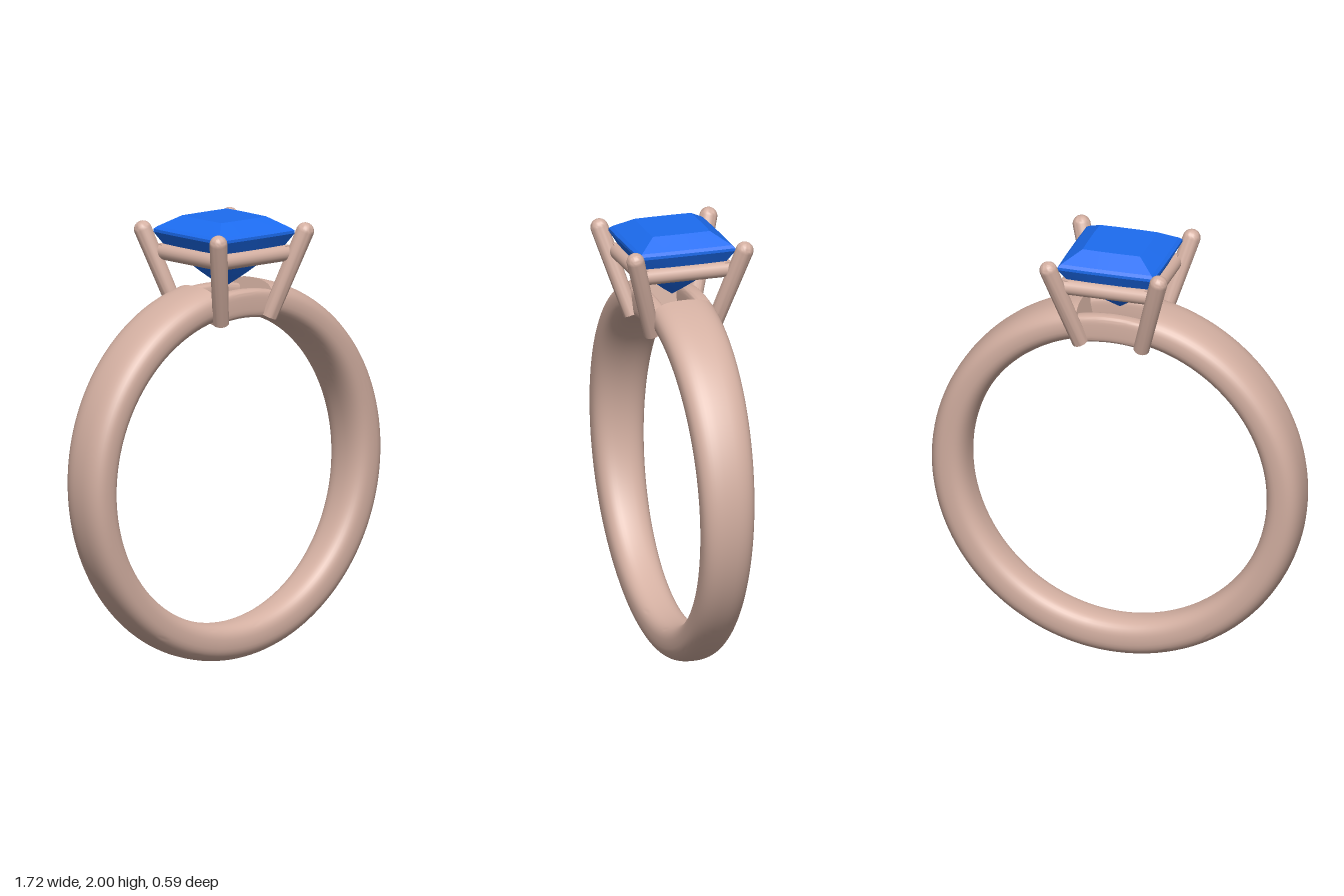
import * as THREE from 'three';
import { toCreasedNormals } from 'three/addons/utils/BufferGeometryUtils.js';

const CENTER_Y = 0.86;
const V = (x, y, z) => new THREE.Vector3(x, y, z);

// Skin a list of closed cross-sections and cap both ends
function loft(rings, crease) {
  const m = rings[0].length, last = rings.length - 1;
  const pos = [], idx = [];
  rings.forEach(r => r.forEach(p => pos.push(p.x, p.y, p.z)));
  for (let i = 0; i < last; i++) {
    for (let j = 0; j < m; j++) {
      const a = i * m + j, b = i * m + (j + 1) % m;
      idx.push(a, b, a + m, b, b + m, a + m);
    }
  }
  for (const i of [0, last]) {
    const c = rings[i].reduce((s, p) => s.add(p), V(0, 0, 0)).divideScalar(m);
    const ci = pos.push(c.x, c.y, c.z) / 3 - 1;
    for (let j = 0; j < m; j++) {
      const a = i * m + j, b = i * m + (j + 1) % m;
      if (i) idx.push(ci, a, b); else idx.push(ci, b, a);
    }
  }
  const g = new THREE.BufferGeometry();
  g.setAttribute('position', new THREE.Float32BufferAttribute(pos, 3));
  g.setIndex(idx);
  return toCreasedNormals(g, crease);
}

// Sweep a rounded section around the finger axis, angle measured from the top
function arcSweep(a0, a1, steps, rIn, rOut, zMid, halfWidth, power) {
  const rings = [], n = 40, e = 2 / power;
  const soft = v => Math.sign(v) * Math.abs(v) ** e;
  for (let i = 0; i <= steps; i++) {
    const a = a0 + (a1 - a0) * i / steps, w = halfWidth(a), ring = [];
    for (let j = 0; j < n; j++) {
      const t = j / n * Math.PI * 2;
      const r = (rIn + rOut) / 2 + (rOut - rIn) / 2 * soft(Math.cos(t));
      ring.push(V(r * Math.sin(a), CENTER_Y + r * Math.cos(a), zMid + w * soft(Math.sin(t))));
    }
    rings.push(ring);
  }
  return loft(rings, 0.7);
}

// Square outline whose corners soften as the power falls
function gemRing(y, h, power) {
  return Array.from({ length: 16 }, (_, i) => {
    const t = i / 16 * Math.PI * 2, c = Math.cos(t), s = Math.sin(t);
    const r = h / (Math.abs(c) ** power + Math.abs(s) ** power) ** (1 / power);
    return V(r * c, y, r * s);
  });
}

export function createModel() {
  const ring = new THREE.Group();
  ring.name = 'ring';
  const metal = new THREE.MeshStandardMaterial({ color: 0xd4b0a2 });
  const blue = new THREE.MeshStandardMaterial({ color: 0x1c6cf0 });
  const add = (name, geometry, material = metal, parent = ring) => {
    const mesh = new THREE.Mesh(geometry, material);
    mesh.name = name;
    parent.add(mesh);
    return mesh;
  };

  // Band, open under the setting and wider towards the top
  const gap = 0.2;
  add('band', arcSweep(gap, Math.PI * 2 - gap, 128, 0.693, 0.86, 0,
    a => 0.12 + 0.027 * Math.cos(a), 2.6));

  // Setting: bridges, prongs and gallery rail
  const setting = new THREE.Group();
  setting.name = 'setting';
  ring.add(setting);
  for (const s of [-1, 1]) {
    add('bridge', arcSweep(-0.22, 0.22, 10, 0.695, 0.822, s * 0.108, () => 0.036, 4),
      metal, setting);
  }

  const foot = V(0.142, 1.55, 0.142), tip = V(0.255, 1.935, 0.255);
  const axis = tip.clone().sub(foot), length = axis.length(), radius = 0.04;
  const profile = [new THREE.Vector2(0, 0), new THREE.Vector2(0.036, 0)];
  for (let i = 0; i <= 8; i++) {
    const t = i / 8 * Math.PI / 2;
    profile.push(new THREE.Vector2(i < 8 ? radius * Math.cos(t) : 0, length + radius * Math.sin(t)));
  }
  const prongGeometry = toCreasedNormals(new THREE.LatheGeometry(profile, 24), 0.7);
  for (const sx of [-1, 1]) {
    for (const sz of [-1, 1]) {
      const side = V(sx, 1, sz);
      const prong = add('prong', prongGeometry, metal, setting);
      prong.position.copy(foot).multiply(side);
      prong.quaternion.setFromUnitVectors(V(0, 1, 0), axis.clone().multiply(side).normalize());
    }
  }

  const railGeometry = new THREE.CylinderGeometry(0.036, 0.036, 0.42, 20);
  for (let i = 0; i < 4; i++) {
    const pivot = new THREE.Group();
    pivot.name = 'galleryRail';
    pivot.rotation.y = i * Math.PI / 2;
    setting.add(pivot);
    const bar = add('railBar', railGeometry, metal, pivot);
    bar.rotation.z = Math.PI / 2;
    bar.position.set(0, 1.836, 0.192);
  }

  // Square-cut gem: height, half width, corner sharpness
  const levels = [
    [2.0, 0.135, 40], [1.95, 0.212, 60], [1.938, 0.225, 60], [1.925, 0.225, 60],
    [1.87, 0.195, 30], [1.8, 0.14, 5], [1.75, 0.095, 3], [1.71, 0.045, 2.5], [1.68, 0.002, 2],
  ];
  add('gem', loft(levels.map(l => gemRing(...l)), 0.05), blue);

  return ring;
}
